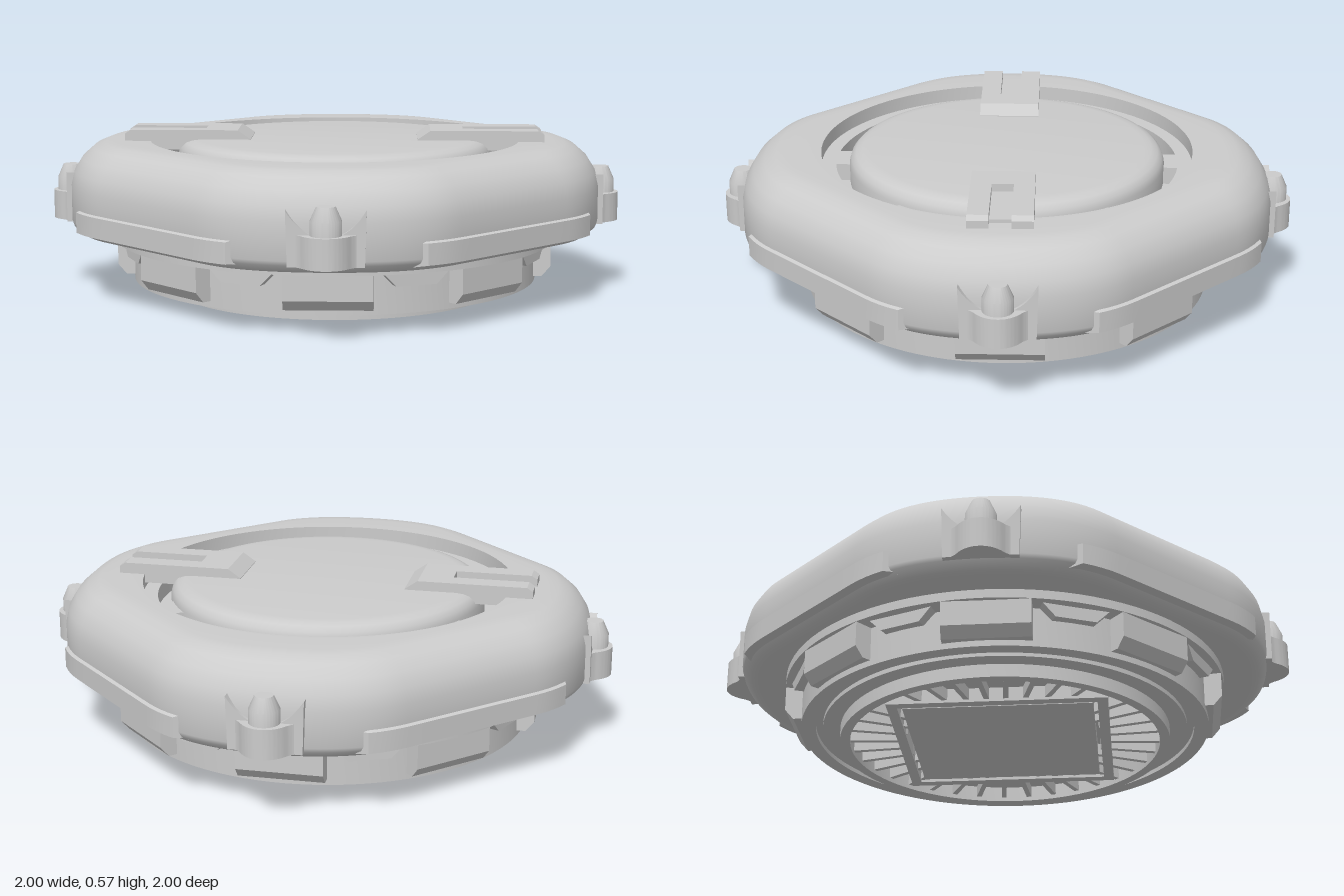
import * as THREE from 'three';
import { toCreasedNormals } from 'three/addons/utils/BufferGeometryUtils.js';

const grey = new THREE.MeshStandardMaterial({ color: 0xcccccc, side: THREE.DoubleSide });
const V2 = (x, y) => new THREE.Vector2(x, y);

function add(parent, name, geometry, crease = 0.5) {
  const mesh = new THREE.Mesh(toCreasedNormals(geometry, crease), grey);
  mesh.name = name;
  parent.add(mesh);
  return mesh;
}

const lathe = (pts) => new THREE.LatheGeometry(pts.map(([x, y]) => V2(x, y)), 96);

// Side profile in (x, y), extruded symmetrically about z = 0
function slab(pts, width) {
  const g = new THREE.ExtrudeGeometry(new THREE.Shape(pts.map(([x, y]) => V2(x, y))),
    { depth: width, bevelEnabled: false });
  return g.translate(0, 0, -width / 2);
}

// Outline of the rounded diamond housing: points with outward normals, x towards z
function diamondOutline() {
  const path = new THREE.CurvePath();
  const a = V2(0.925, 0), b = V2(0.78, 0.42), c = V2(0.42, 0.78), d = V2(0, 0.925);
  const quarter = [
    ...new THREE.QuadraticBezierCurve(a, V2(0.925, 0.275), b).getPoints(12).slice(0, -1),
    ...new THREE.LineCurve(b, c).getPoints(8).slice(0, -1),
    ...new THREE.QuadraticBezierCurve(c, V2(0.275, 0.925), d).getPoints(12).slice(0, -1),
  ];
  const pts = [];
  for (let q = 0; q < 4; q++)
    quarter.forEach((p) => pts.push(p.clone().rotateAround(V2(0, 0), q * Math.PI / 2)));
  return pts.map((p, i) => {
    const t = pts[(i + 1) % pts.length].clone().sub(pts[(i + pts.length - 1) % pts.length]).normalize();
    return { p, n: V2(t.y, -t.x) };
  });
}

// Skin between rows; pointAt(row, column) gives a Vector3
function skin(rows, cols, pointAt) {
  const pos = [], index = [];
  for (let r = 0; r < rows; r++)
    for (let c = 0; c < cols; c++) pos.push(...pointAt(r, c).toArray());
  for (let r = 0; r < rows - 1; r++)
    for (let c = 0; c < cols - 1; c++) {
      const i = r * cols + c, j = i + cols;
      index.push(i, j, i + 1, j, j + 1, i + 1);
    }
  const g = new THREE.BufferGeometry();
  g.setAttribute('position', new THREE.Float32BufferAttribute(pos, 3));
  g.setIndex(index);
  return g;
}

function createHousing(group) {
  const outline = diamondOutline();
  // { in: inset from the outline } or { r: circle radius }, each at height y
  const rows = [
    { r: 0.7, y: 0.215 }, { in: 0.06, y: 0.215 }, { in: 0.035, y: 0.22 }, { in: 0.005, y: 0.245 },
    { in: 0, y: 0.26 }, { in: 0, y: 0.38 }, { in: 0.012, y: 0.43 }, { in: 0.04, y: 0.475 },
    { in: 0.08, y: 0.51 }, { in: 0.12, y: 0.526 }, { in: 0.16, y: 0.53 }, { r: 0.648, y: 0.53 },
    { r: 0.648, y: 0.48 }, { r: 0.597, y: 0.48 }, { r: 0.597, y: 0.42 }, { r: 0.5, y: 0.42 },
  ];
  const at = (row, { p, n }) => {
    const q = row.r ? p.clone().setLength(row.r) : p.clone().addScaledVector(n, -row.in);
    return new THREE.Vector3(q.x, row.y, q.y);
  };
  const N = outline.length;
  add(group, 'housing', skin(rows.length, N + 1, (r, c) => at(rows[r], outline[c % N])), 0.6);

  // Raised strips low on the four diagonal faces
  const strip = outline.slice(0, N / 4).filter(({ p }) => Math.min(p.x, p.y) > 0.26);
  const stripRows = [{ in: 0.03, y: 0.232 }, { in: -0.012, y: 0.24 }, { in: -0.012, y: 0.31 }, { in: 0.02, y: 0.322 }];
  for (let i = 0; i < 4; i++) {
    const g = skin(4, strip.length, (r, c) => {
      const end = c === 0 || c === strip.length - 1;
      return at({ in: end ? 0.02 : stripRows[r].in, y: stripRows[r].y }, strip[c]);
    });
    add(group, 'sideStrip', g).rotation.y = i * Math.PI / 2;
  }
}

// Corner ear with a scooped collar and a stud, built facing +z
function createCornerEar() {
  const ear = new THREE.Group();
  ear.name = 'cornerEar';
  const foot = new THREE.Shape();
  foot.moveTo(-0.12, -0.84);
  foot.lineTo(-0.12, -0.92);
  foot.quadraticCurveTo(-0.085, -0.935, -0.07, -0.96);
  foot.quadraticCurveTo(-0.04, -1, 0, -1);
  foot.quadraticCurveTo(0.04, -1, 0.07, -0.96);
  foot.quadraticCurveTo(0.085, -0.935, 0.12, -0.92);
  foot.lineTo(0.12, -0.84);
  const footGeo = new THREE.ExtrudeGeometry(foot, { depth: 0.1, bevelEnabled: false });
  add(ear, 'earFoot', footGeo.rotateX(-Math.PI / 2).translate(0, 0.245, 0));

  const collar = new THREE.Shape();
  collar.moveTo(-0.12, 0.245);
  collar.lineTo(0.12, 0.245);
  collar.lineTo(0.125, 0.42);
  collar.quadraticCurveTo(0.07, 0.335, 0, 0.335);
  collar.quadraticCurveTo(-0.07, 0.335, -0.125, 0.42);
  const collarGeo = new THREE.ExtrudeGeometry(collar, { depth: 0.1, bevelEnabled: false });
  add(ear, 'earCollar', collarGeo.translate(0, 0, 0.835));

  const stud = lathe([[0.05, 0.32], [0.05, 0.39], [0.03, 0.435], [0, 0.435]]);
  add(ear, 'stud', stud.translate(0, 0, 0.935));
  return ear;
}

// Forked clip lying across the groove, pointing to +x
function createClip() {
  const clip = new THREE.Group();
  clip.name = 'clip';
  const prong = [[0.29, 0.5], [0.73, 0.5], [0.73, 0.555], [0.71, 0.568], [0.335, 0.568], [0.29, 0.537]];
  for (const s of [-1, 1]) add(clip, 'prong', slab(prong, 0.07).translate(0, 0, s * 0.0715));
  add(clip, 'bridge', slab([[0.29, 0.5], [0.45, 0.5], [0.45, 0.568], [0.335, 0.568], [0.29, 0.537]], 0.073));
  add(clip, 'slotFloor', slab([[0.45, 0.5], [0.685, 0.5], [0.685, 0.542], [0.45, 0.542]], 0.073));
  return clip;
}

function createBase(group) {
  add(group, 'base', lathe([
    [0, 0.055], [0.54, 0.055], [0.54, 0], [0.575, 0], [0.575, 0.045], [0.635, 0.045], [0.635, 0.06],
    [0.66, 0.06], [0.66, 0.045], [0.71, 0.045], [0.71, 0.18], [0.77, 0.185], [0.77, 0.22],
  ]));

  // Chamfered lugs with hanging teeth between them
  const lug = [[0.66, 0.065], [0.725, 0.065], [0.755, 0.1], [0.755, 0.19], [0.66, 0.19]];
  const tooth = [[-0.12, 0.19], [-0.07, 0.14], [0.07, 0.14], [0.12, 0.19]];
  for (let i = 0; i < 8; i++) {
    add(group, 'lug', slab(lug, 0.29)).rotation.y = i * Math.PI / 4;
    add(group, 'tooth', slab(tooth, 0.06).translate(0, 0, 0.71)).rotation.y = (i + 0.5) * Math.PI / 4;
  }

  // Radial fins around a square plate on the underside
  for (let i = 0; i < 36; i++) {
    const fin = new THREE.BoxGeometry(0.2, 0.04, 0.018).translate(0.445, 0.035, 0);
    add(group, 'fin', fin).rotation.y = (i + 0.5) * Math.PI / 18;
  }
  const square = (s, Type) => new Type([V2(-s, -s), V2(s, -s), V2(s, s), V2(-s, s)]);
  const frame = square(0.37, THREE.Shape);
  frame.holes.push(square(0.335, THREE.Path));
  const frameGeo = new THREE.ExtrudeGeometry(frame, { depth: 0.05, bevelEnabled: false });
  add(group, 'plateFrame', frameGeo.rotateX(-Math.PI / 2).translate(0, 0.006, 0));
  add(group, 'plate', new THREE.BoxGeometry(0.64, 0.045, 0.64).translate(0, 0.033, 0));
}

export function createModel() {
  const group = new THREE.Group();
  group.name = 'device';
  createHousing(group);
  createBase(group);

  // Round lid with a soft rim, standing in the groove
  add(group, 'lid', lathe([
    [0.55, 0.41], [0.55, 0.485], [0.543, 0.508], [0.527, 0.524], [0.505, 0.532], [0.48, 0.535], [0, 0.535],
  ]), 0.6);

  // Spacers across the groove
  for (const deg of [32, 90, 148, 212, 270, 328]) {
    const spacer = new THREE.BoxGeometry(0.07, 0.06, 0.13).translate(0.568, 0.45, 0);
    add(group, 'grooveSpacer', spacer).rotation.y = deg * Math.PI / 180;
  }

  for (let i = 0; i < 4; i++) {
    const ear = createCornerEar();
    ear.rotation.y = i * Math.PI / 2;
    group.add(ear);
  }
  for (let i = 0; i < 2; i++) {
    const clip = createClip();
    clip.rotation.y = i * Math.PI;
    group.add(clip);
  }
  return group;
}
